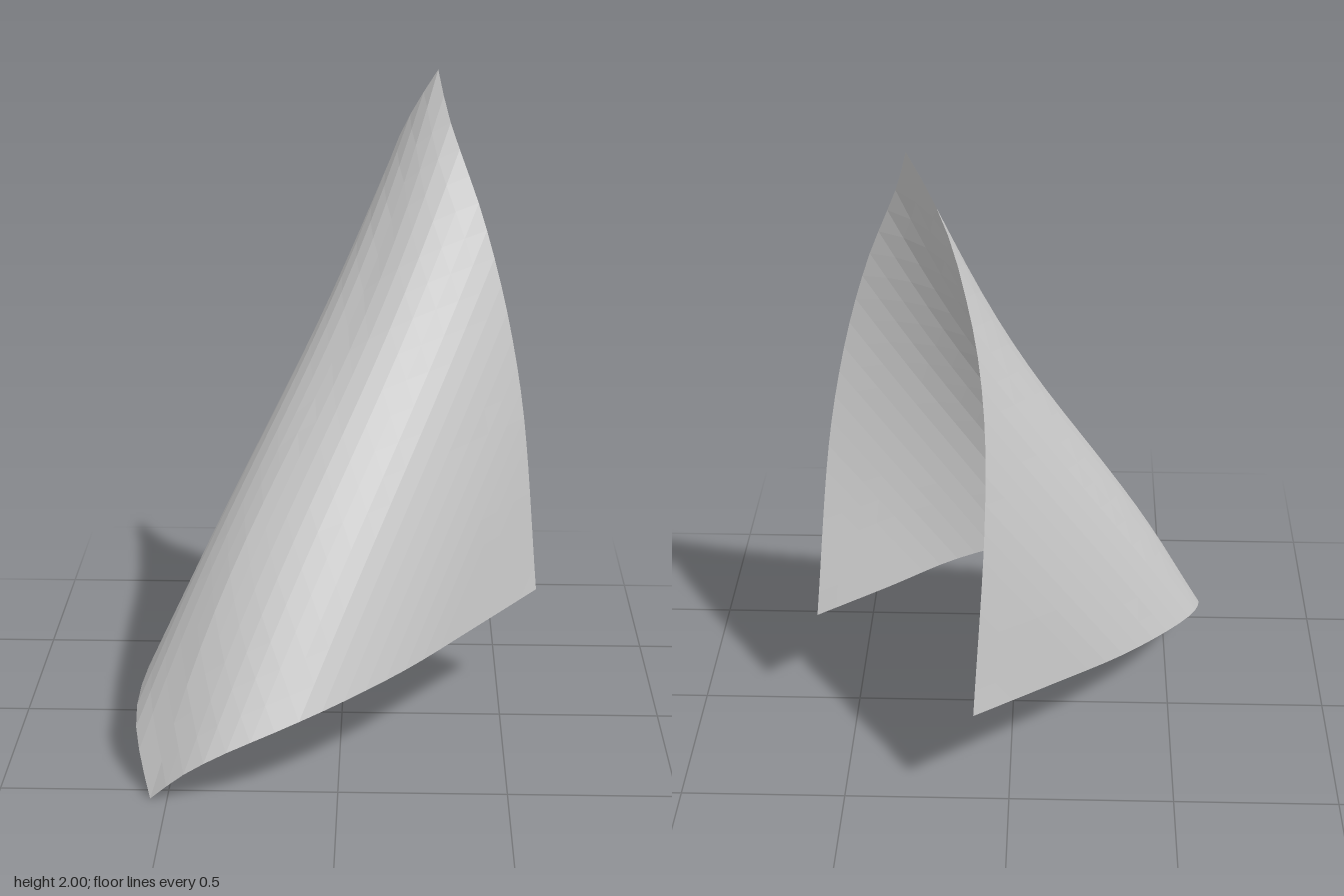
import * as THREE from 'three';

const curve = pts => new THREE.CatmullRomCurve3(pts.map(p => new THREE.Vector3(...p)));

// Lower edge: front tip to side corner
const lower = curve([
  [-0.55, 0, 0.55], [-0.45, 0.1, 0.59], [-0.34, 0.175, 0.61], [-0.15, 0.253, 0.58],
  [0, 0.29, 0.5], [0.2, 0.325, 0.34], [0.4, 0.355, 0.125], [0.61, 0.39, -0.1],
]);
// Upper edge: peak to the same side corner
const upper = curve([
  [0.28, 2, -0.28], [0.31, 1.88, -0.21], [0.35, 1.77, -0.16], [0.4, 1.64, -0.12],
  [0.45, 1.48, -0.085], [0.5, 1.28, -0.065], [0.55, 1.0, -0.065], [0.61, 0.39, -0.1],
]);
// Outward direction of the fold, square to the line from tip to peak
const outward = new THREE.Vector3(-0.61, 0.506, 0.61);

// Point at share "across" from fold to side corner, and share "along" from lower to upper edge
function sheetPoint(across, along) {
  const p = lower.getPointAt(across).lerp(upper.getPointAt(across), along);
  // the fold swells near the tip and sinks near the peak
  const bend = 0.045 * Math.sin(2 * Math.PI * along) - 0.012 * Math.sin(Math.PI * along);
  return p.addScaledVector(outward, bend * (1 - across) ** 6);
}

// Square sheet folded about its tip-to-peak diagonal
function foldedSheet(n) {
  const pos = [], index = [];
  for (let i = 0; i <= n; i++) {
    for (let j = 0; j <= n; j++) {
      const k = Math.abs(i - j);
      const p = sheetPoint(k / n, k === n ? 0 : Math.min(i, j) / (n - k));
      // the other half mirrors across the plane x = -z
      if (j > i) pos.push(-p.z, p.y, -p.x);
      else pos.push(p.x, p.y, p.z);
    }
  }
  for (let i = 0; i < n; i++) {
    for (let j = 0; j < n; j++) {
      const a = i * (n + 1) + j, b = a + n + 1;
      index.push(a, b, b + 1, a, b + 1, a + 1);
    }
  }
  const geo = new THREE.BufferGeometry();
  geo.setAttribute('position', new THREE.Float32BufferAttribute(pos, 3));
  geo.setIndex(index);
  geo.computeVertexNormals();
  return geo;
}

export function createModel() {
  const group = new THREE.Group();
  group.name = 'foldedSail';
  const sheet = new THREE.Mesh(
    foldedSheet(20),
    new THREE.MeshStandardMaterial({ color: 0xcccccc, flatShading: true, side: THREE.DoubleSide }),
  );
  sheet.name = 'sheet';
  group.add(sheet);
  return group;
}
